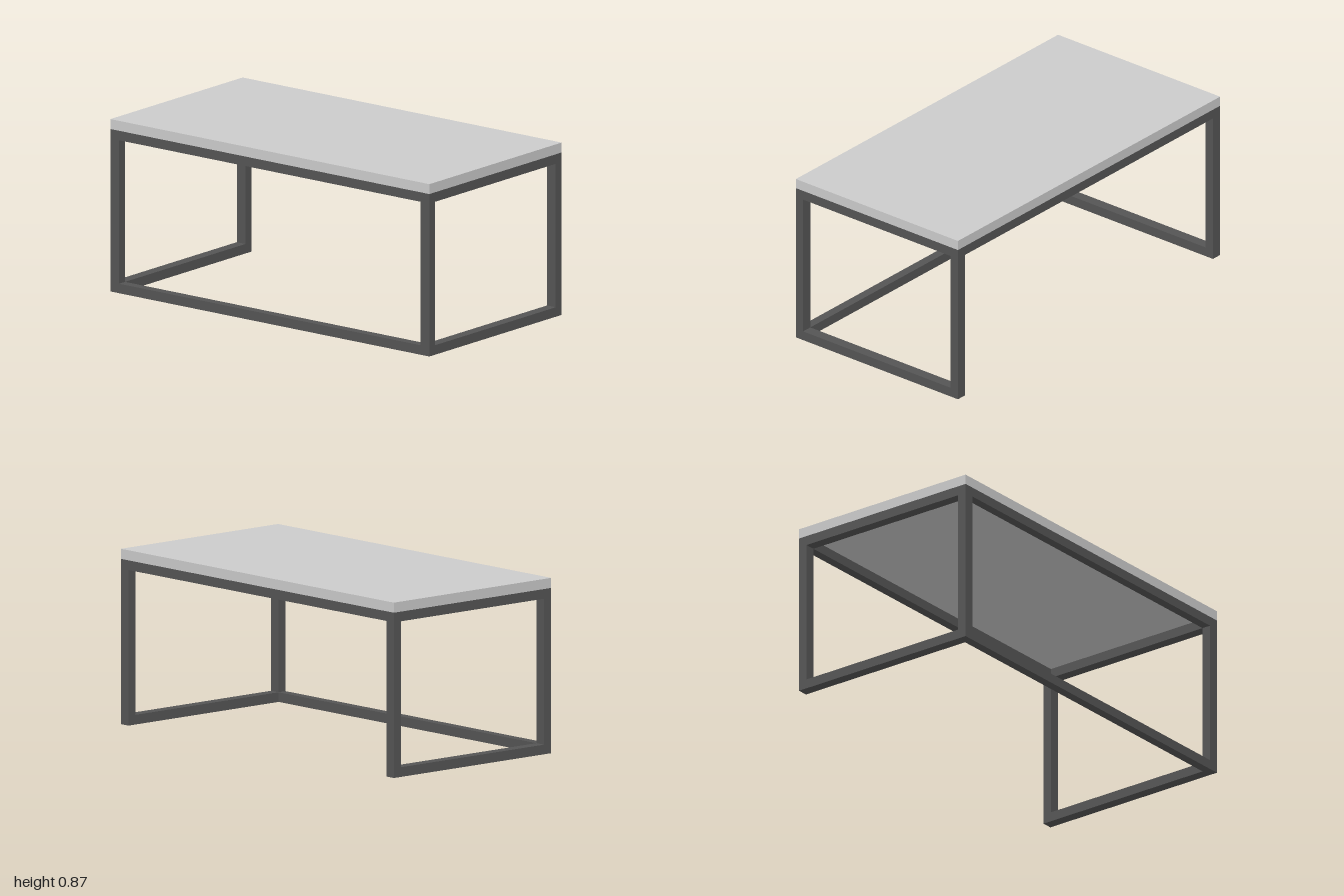
import * as THREE from 'three';

const HALF_W = 0.515, HALF_L = 1, FRAME_H = 0.82, TOP_H = 0.87;
const BAR_X = 0.046, BAR_Y = 0.048, BAR_Z = 0.055;

export function createModel() {
  const group = new THREE.Group();
  const topMaterial = new THREE.MeshStandardMaterial({ color: 0xcccccc });
  const frameMaterial = new THREE.MeshStandardMaterial({ color: 0x555555 });

  const addBox = (name, [w, h, d], [x, y, z], material = frameMaterial) => {
    const mesh = new THREE.Mesh(new THREE.BoxGeometry(w, h, d), material);
    mesh.name = name;
    mesh.position.set(x, y, z);
    group.add(mesh);
  };

  // Slab
  const slab = TOP_H - FRAME_H;
  addBox('tableTop', [2 * HALF_W, slab, 2 * HALF_L], [0, FRAME_H + slab / 2, 0], topMaterial);

  const legX = HALF_W - BAR_X / 2, legZ = HALF_L - BAR_Z / 2;
  const lowY = BAR_Y / 2, highY = FRAME_H - BAR_Y / 2;
  const crossLength = 2 * (HALF_W - BAR_X), sideLength = 2 * (HALF_L - BAR_Z);

  // End frames: two legs joined by an upper and a lower crossbar
  for (const [end, sz] of [['front', 1], ['back', -1]]) {
    for (const [side, sx] of [['Left', 1], ['Right', -1]])
      addBox(`${end}${side}Leg`, [BAR_X, FRAME_H, BAR_Z], [sx * legX, FRAME_H / 2, sz * legZ]);
    addBox(`${end}UpperCrossbar`, [crossLength, BAR_Y, BAR_Z], [0, highY, sz * legZ]);
    addBox(`${end}LowerCrossbar`, [crossLength, BAR_Y, BAR_Z], [0, lowY, sz * legZ]);
  }

  // Long rails: both sides at the top, only the right side at the floor
  addBox('leftUpperRail', [BAR_X, BAR_Y, sideLength], [legX, highY, 0]);
  addBox('rightUpperRail', [BAR_X, BAR_Y, sideLength], [-legX, highY, 0]);
  addBox('rightLowerRail', [BAR_X, BAR_Y, sideLength], [-legX, lowY, 0]);

  return group;
}
